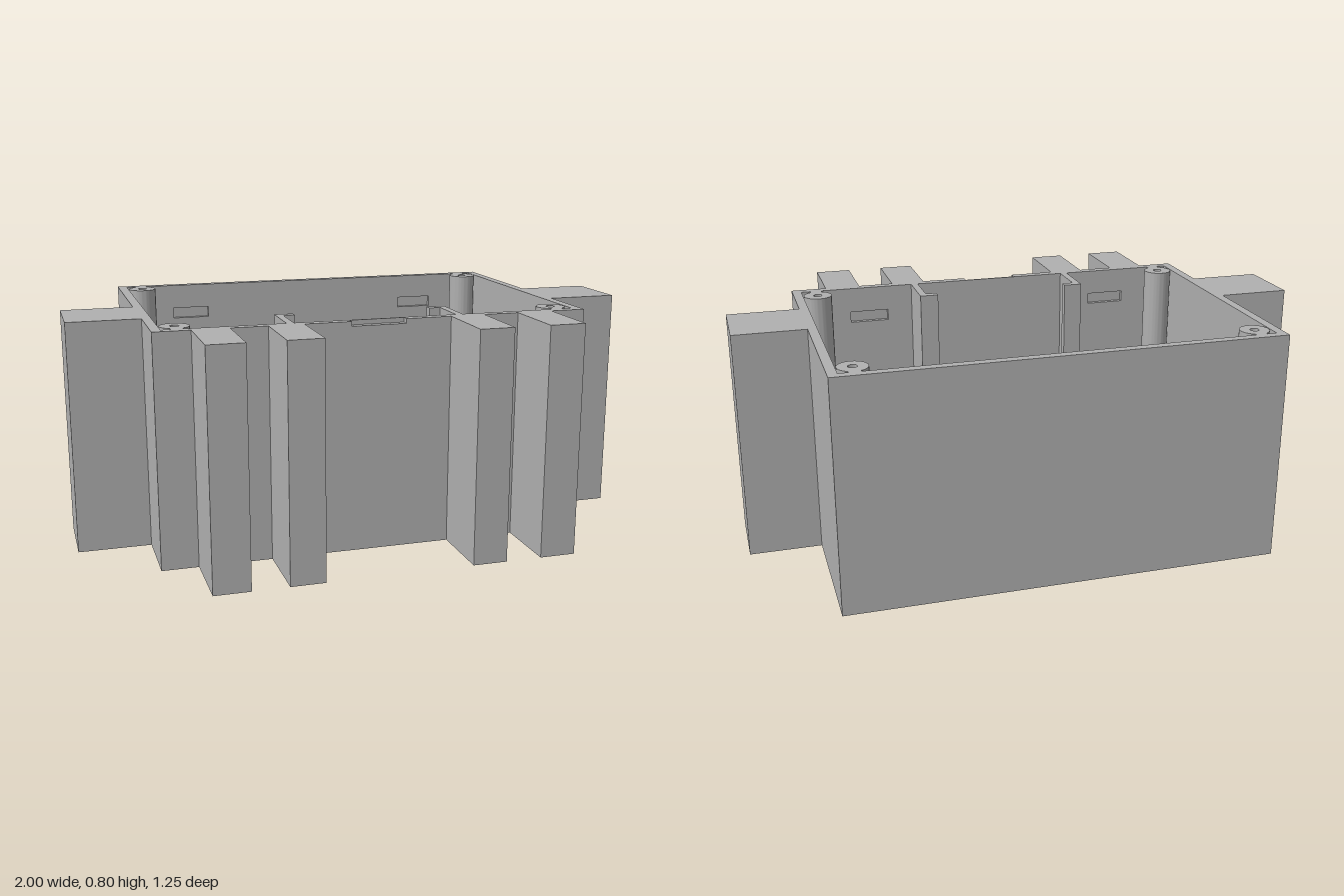
import * as THREE from 'three';
import { toCreasedNormals } from 'three/addons/utils/BufferGeometryUtils.js';

const H = 0.8, FLOOR = 0.04;
const X = 0.75, XI = 0.718;                 // outer and inner half width
const ZB = -0.625, ZBI = -0.594;            // back wall, outer and inner
const ZF = 0.375, ZFI = 0.344;              // front wall, outer and inner

export function createModel() {
  const model = new THREE.Group();
  model.name = 'enclosure';
  const grey = new THREE.MeshStandardMaterial({ color: 0xb0b0b0 });
  grey.name = 'grey plastic';

  function add(name, geometry) {
    const mesh = new THREE.Mesh(geometry, grey);
    mesh.name = name;
    model.add(mesh);
    return mesh;
  }
  // Block given by its limits on each axis
  function block(name, x0, x1, y0, y1, z0, z1) {
    const mesh = add(name, new THREE.BoxGeometry(Math.abs(x1 - x0), y1 - y0, z1 - z0));
    mesh.position.set((x0 + x1) / 2, (y0 + y1) / 2, (z0 + z1) / 2);
  }
  function polygon(points, Type = THREE.Shape) {
    return new Type(points.map(([x, y]) => new THREE.Vector2(x, y)));
  }
  function rectangle(x0, x1, y0, y1) {
    return polygon([[x0, y0], [x0, y1], [x1, y1], [x1, y0]], THREE.Path);
  }
  // Upright wall layer, optionally with latch slots and a notch in its top edge
  function wallLayer(name, z0, z1, slots, notch) {
    const top = notch ? [[0.095, H], [0.095, H - 0.016], [-0.095, H - 0.016], [-0.095, H]] : [];
    const shape = polygon([[-X, 0], [X, 0], [X, H], ...top, [-X, H]]);
    if (slots) shape.holes.push(rectangle(-0.54, -0.4, 0.67, 0.71), rectangle(0.4, 0.54, 0.67, 0.71));
    const geometry = new THREE.ExtrudeGeometry(shape, { depth: z1 - z0, bevelEnabled: false });
    geometry.translate(0, 0, z0);
    add(name, geometry);
  }

  // Back and front walls, layered so the slots stay blind
  wallLayer('backWallOuter', ZB, -0.61, false, false);
  wallLayer('backWallInner', -0.61, ZBI, true, false);
  wallLayer('frontWallInner', ZFI, 0.35, true, false);
  wallLayer('frontWallMiddle', 0.35, 0.36, true, true);
  wallLayer('frontWallOuter', 0.36, ZF, false, true);

  // Floor with two openings; shape y runs towards -z
  const floor = polygon([[-XI, -ZFI], [XI, -ZFI], [XI, -ZBI], [-XI, -ZBI]]);
  floor.holes.push(rectangle(-0.5, -0.375, 0.13, 0.38), rectangle(0.375, 0.5, 0.13, 0.38));
  const floorGeometry = new THREE.ExtrudeGeometry(floor, { depth: FLOOR, bevelEnabled: false });
  floorGeometry.rotateX(-Math.PI / 2);
  add('floor', floorGeometry);

  // Round screw post with a bore
  const ring = new THREE.Shape().absarc(0, 0, 0.05, 0, Math.PI * 2, false);
  ring.holes.push(new THREE.Path().absarc(0, 0, 0.015, 0, Math.PI * 2, true));
  const extruded = new THREE.ExtrudeGeometry(ring, { depth: H - FLOOR, bevelEnabled: false, curveSegments: 28 });
  extruded.rotateX(-Math.PI / 2);
  const postGeometry = toCreasedNormals(extruded, 0.7);

  for (const s of [-1, 1]) {
    const side = s > 0 ? 'left' : 'right';
    const box = (name, a, b, ...rest) => block(side + name, Math.min(s * a, s * b), Math.max(s * a, s * b), ...rest);

    box('SideWall', XI, X, 0, H, ZBI, ZFI);
    box('SideTab', X, 1, 0, H, -0.125, 0.125);
    box('OuterLeg', 0.5, 0.625, 0, H, ZF, 0.625);
    box('InnerLeg', 0.255, 0.375, 0, H, ZF, 0.625);

    // L-shaped partition behind the front wall
    box('Partition', 0.283, 0.308, FLOOR, H, 0.17, ZFI);
    box('PartitionLip', 0.243, 0.283, FLOOR, H, 0.17, 0.198);

    // Low rim around the floor opening
    box('RimBack', 0.11, XI, FLOOR, 0.1, -0.455, -0.44);
    box('RimFront', 0.11, XI, FLOOR, 0.1, -0.07, -0.055);
    box('RimEnd', 0.11, 0.125, FLOOR, 0.1, -0.44, -0.07);

    // Corner posts and the webs joining them to the walls
    for (const [end, z, wall] of [['Back', -0.54, ZBI], ['Front', 0.285, ZFI]]) {
      const post = add(side + end + 'Post', postGeometry);
      post.position.set(s * 0.665, FLOOR, z);
      const inner = z + Math.sign(wall) * 0.035;
      box(end + 'PostWeb', 0.645, 0.685, FLOOR, H, Math.min(wall, inner), Math.max(wall, inner));
    }
  }
  return model;
}
